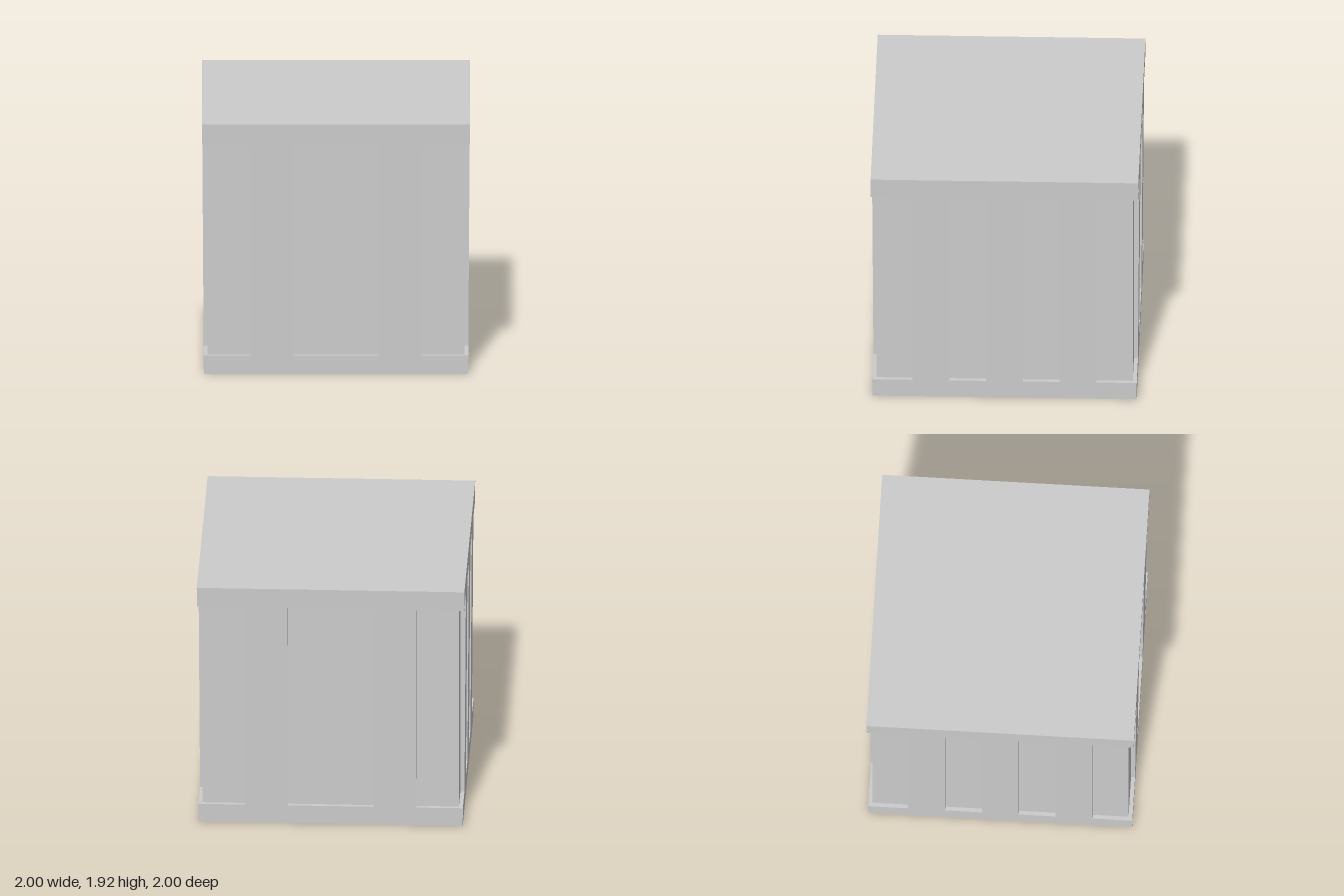
import * as THREE from 'three';

const HEIGHT = 1.925, RAIL_LOW = 0.145, RAIL_HIGH = 1.77, CORE = 0.958;

// Half width of the outer shell, which widens slightly towards the top
const shellHalf = (y) => 0.987 + 0.013 * (y / HEIGHT);

export function createModel() {
  const model = new THREE.Group();
  const material = new THREE.MeshStandardMaterial({ color: 0xcccccc, flatShading: true });

  // Box between two corners; vertices at +-1 are moved onto the tapered shell
  function block(name, [x0, y0, z0], [x1, y1, z1], parent = model) {
    const geometry = new THREE.BoxGeometry(x1 - x0, y1 - y0, z1 - z0);
    geometry.translate((x0 + x1) / 2, (y0 + y1) / 2, (z0 + z1) / 2);
    const p = geometry.attributes.position;
    const fit = (v, y) => (Math.abs(v) > 0.999 ? Math.sign(v) * shellHalf(y) : v);
    for (let i = 0; i < p.count; i++) {
      const y = p.getY(i);
      p.setX(i, fit(p.getX(i), y));
      p.setZ(i, fit(p.getZ(i), y));
    }
    geometry.computeVertexNormals();
    const mesh = new THREE.Mesh(geometry, material);
    mesh.name = name;
    parent.add(mesh);
  }

  // Rails and recessed body
  block('bottomRail', [-1, 0, -1], [1, RAIL_LOW, 1]);
  block('body', [-CORE, RAIL_LOW, -CORE], [CORE, RAIL_HIGH, CORE]);
  block('topRail', [-1, RAIL_HIGH, -1], [1, HEIGHT, 1]);

  // Upright slats: two on the front and back, three on each side
  const faces = [
    ['front', 0, [-0.48, 0.48], 0.16],
    ['left', Math.PI / 2, [-0.55, 0, 0.55], 0.138],
    ['back', Math.PI, [-0.48, 0.48], 0.16],
    ['right', -Math.PI / 2, [-0.55, 0, 0.55], 0.138],
  ];
  for (const [name, angle, centres, half] of faces) {
    const face = new THREE.Group();
    face.name = `${name}Slats`;
    face.rotation.y = angle;
    for (const c of centres) {
      block(`${name}Slat`, [c - half, RAIL_LOW, CORE - 0.02], [c + half, RAIL_HIGH, 1], face);
    }
    model.add(face);
  }
  return model;
}
